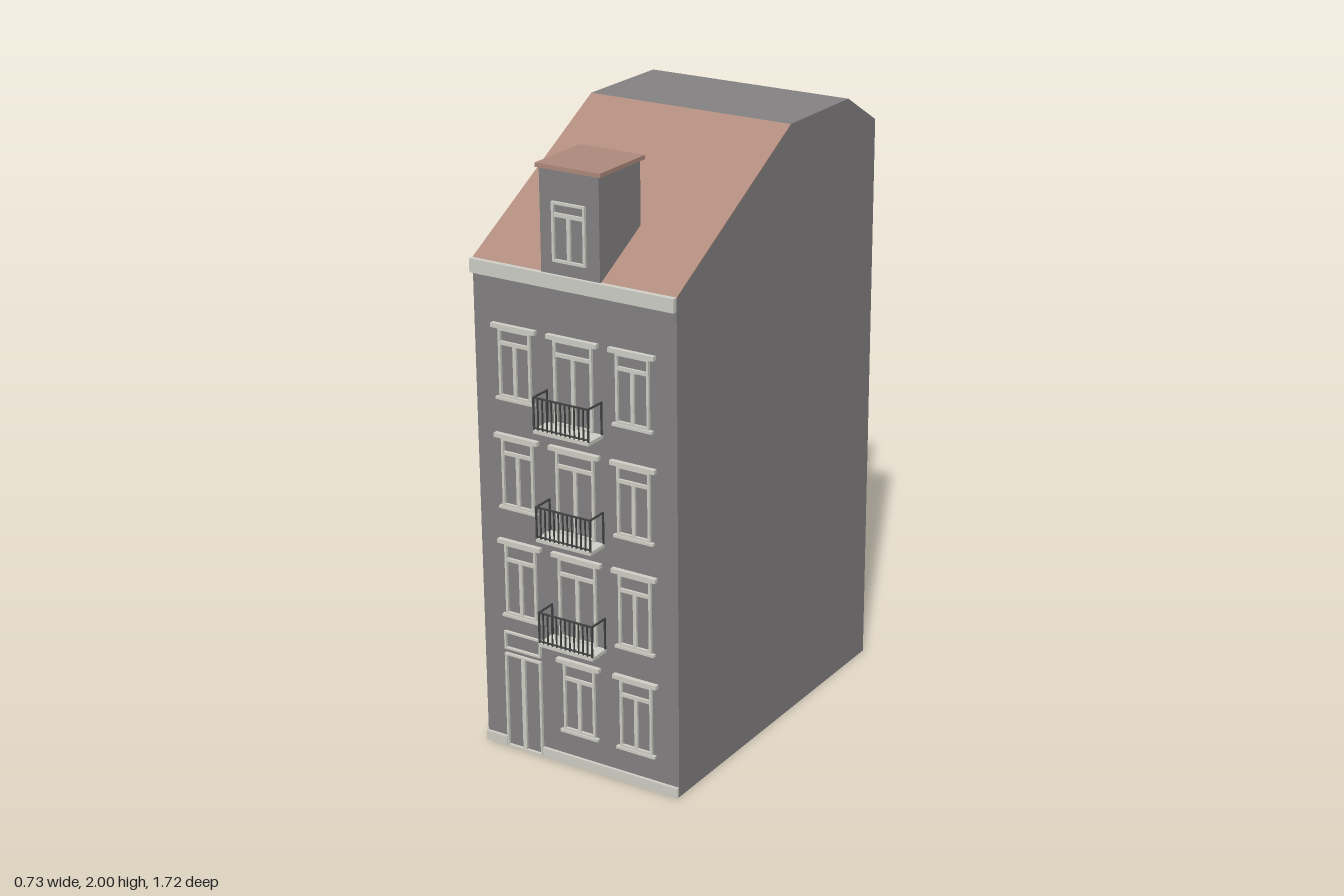
import * as THREE from 'three';

const mat = (name, color) => Object.assign(new THREE.MeshStandardMaterial({ color }), { name });

export function createModel() {
  const house = new THREE.Group();
  house.name = 'townhouse';
  const wall = mat('wall grey', 0x858383);
  const brown = mat('roof brown', 0xb08b7d);
  const trim = mat('pale trim', 0xd2d2ca);
  const iron = mat('dark iron', 0x444444);

  const X0 = -0.365, X1 = 0.363, WING = 0.06;      // side walls, wing wall
  const FRONT = 0.788, NOTCH = -0.402, BACK = -0.852;
  const CX = -0.002;                               // facade centre line

  // box from its min and max corners
  function box(parent, name, m, x0, x1, y0, y1, z0, z1) {
    const mesh = new THREE.Mesh(new THREE.BoxGeometry(x1 - x0, y1 - y0, z1 - z0), m);
    mesh.position.set((x0 + x1) / 2, (y0 + y1) / 2, (z0 + z1) / 2);
    mesh.name = name;
    parent.add(mesh);
    return mesh;
  }

  // (z, y) profile pulled along x
  function profile(name, m, x0, x1, pts) {
    const shape = new THREE.Shape(pts.map(p => new THREE.Vector2(p[0], p[1])));
    const g = new THREE.ExtrudeGeometry(shape, { depth: x1 - x0, bevelEnabled: false });
    g.rotateY(-Math.PI / 2).translate(x1, 0, 0);
    const mesh = new THREE.Mesh(g, m);
    mesh.name = name;
    house.add(mesh);
  }

  // rectangular frame with a hole, extruded towards +z
  function frame(parent, name, x0, x1, y0, y1, z, t, depth) {
    const s = new THREE.Shape([[x0, y0], [x1, y0], [x1, y1], [x0, y1]].map(p => new THREE.Vector2(...p)));
    s.holes.push(new THREE.Path([[x0 + t, y0 + t], [x0 + t, y1 - t], [x1 - t, y1 - t], [x1 - t, y0 + t]]
      .map(p => new THREE.Vector2(...p))));
    const mesh = new THREE.Mesh(new THREE.ExtrudeGeometry(s, { depth, bevelEnabled: false }), trim);
    mesh.position.z = z;
    mesh.name = name;
    parent.add(mesh);
  }

  // main block, rear wing and coloured front slope
  const notchY = 2 - 0.37 * (-0.22 - NOTCH) / (-0.22 - BACK);
  profile('mainBlock', wall, X0, X1,
    [[NOTCH, 0], [FRONT, 0], [FRONT, 1.63], [0.14, 1.996], [0.14, 2], [-0.22, 2], [NOTCH, notchY]]);
  profile('rearWing', wall, X0, WING, [[BACK, 0], [NOTCH, 0], [NOTCH, notchY], [BACK, 1.63]]);
  profile('frontRoofSlope', brown, X0, X1,
    [[FRONT, 1.63], [FRONT, 1.634], [0.14, 2], [0.14, 1.996]]);

  // cornice and plinth
  box(house, 'cornice', trim, X0, X1, 1.59, 1.634, FRONT - 0.005, 0.806);
  box(house, 'plinthLeft', trim, -0.144, X1, 0, 0.033, FRONT - 0.005, 0.798);
  box(house, 'plinthRight', trim, X0, -0.286, 0, 0.033, FRONT - 0.005, 0.798);

  // casement window: outer frame, transom bar, central mullion
  function casement(name, cx, hw, y0, y1, transom, z, lintel, sill) {
    const g = new THREE.Group();
    g.name = name;
    frame(g, 'windowFrame', cx - hw, cx + hw, y0, y1, z, 0.008, 0.009);
    box(g, 'transom', trim, cx - hw, cx + hw, transom - 0.006, transom + 0.006, z, z + 0.008);
    box(g, 'mullion', trim, cx - 0.006, cx + 0.006, y0, transom, z, z + 0.008);
    if (lintel) box(g, 'lintel', trim, cx - hw - 0.021, cx + hw + 0.021, y1, y1 + 0.014, z, z + 0.016);
    if (sill) box(g, 'sill', trim, cx - hw - 0.012, cx + hw + 0.012, y0 - 0.009, y0, z, z + 0.013);
    house.add(g);
  }

  // balcony: slab, front bars, open sides
  function balcony(y) {
    const g = new THREE.Group();
    g.name = 'balcony';
    const a = CX - 0.101, b = CX + 0.101, z0 = FRONT, z1 = 0.864, top = y + 0.118, r = 0.005;
    box(g, 'slab', trim, a, b, y, y + 0.012, z0, z1);
    box(g, 'topRail', iron, a, b, top - r, top, z1 - r, z1);
    box(g, 'bottomRail', iron, a, b, y + 0.016, y + 0.02, z1 - r, z1);
    for (const x of [a, b - r]) {
      box(g, 'sideRail', iron, x, x + r, top - r, top, z0, z1 - r);
      box(g, 'wallPost', iron, x, x + r, y + 0.012, top, z0, z0 + r);
    }
    const n = 12;
    for (let i = 0; i <= n; i++) {
      const x = a + (b - a - r) * i / n;
      const w = i % n ? 0.0035 : r;
      box(g, 'bar', iron, x, x + w, y + 0.012, top - r, z1 - r, z1);
    }
    house.add(g);
  }

  // upper floors: [frame bottom, frame top, transom, balcony base]
  const floors = [[0.472, 0.715, 0.66, 0.43], [0.843, 1.07, 1.02, 0.785], [1.205, 1.428, 1.38, 1.142]];
  for (const [y0, y1, tr, by] of floors) {
    for (const cx of [-0.215, 0.21]) casement('sideWindow', cx, 0.059, y0, y1, tr, FRONT, true, true);
    casement('balconyDoor', CX, 0.07, by + 0.012, y1, tr, FRONT, true, false);
    balcony(by);
  }

  // ground floor windows
  for (const cx of [CX, 0.21]) casement('groundWindow', cx, 0.059, 0.122, 0.356, 0.303, FRONT, true, true);

  // entrance: double door with a light above
  const door = new THREE.Group();
  door.name = 'entrance';
  frame(door, 'doorFrame', -0.284, -0.146, 0, 0.333, FRONT, 0.007, 0.01);
  box(door, 'doorMullion', trim, -0.222, -0.208, 0, 0.33, FRONT, FRONT + 0.009);
  frame(door, 'doorLight', -0.284, -0.146, 0.348, 0.41, FRONT, 0.006, 0.01);
  house.add(door);

  // dormer
  box(house, 'dormerBody', wall, CX - 0.105, CX + 0.105, 1.63, 1.955, 0.576, 0.795);
  box(house, 'dormerRoof', brown, CX - 0.115, CX + 0.115, 1.955, 1.968, 0.565, 0.802);
  casement('dormerWindow', CX, 0.059, 1.675, 1.86, 1.82, 0.795, false, false);

  // rear windows on the wing and the recessed wall
  const rows = [[0.105, 0.34], [0.5, 0.742], [0.86, 1.086], [1.258, 1.475]];
  const columns = [[-0.322, -0.175, BACK], [-0.118, 0.03, BACK], [0.127, 0.285, NOTCH]];
  for (const [y0, y1] of rows)
    for (const [x0, x1, z] of columns) frame(house, 'rearWindow', x0, x1, y0, y1, z - 0.008, 0.008, 0.008);

  return house;
}
